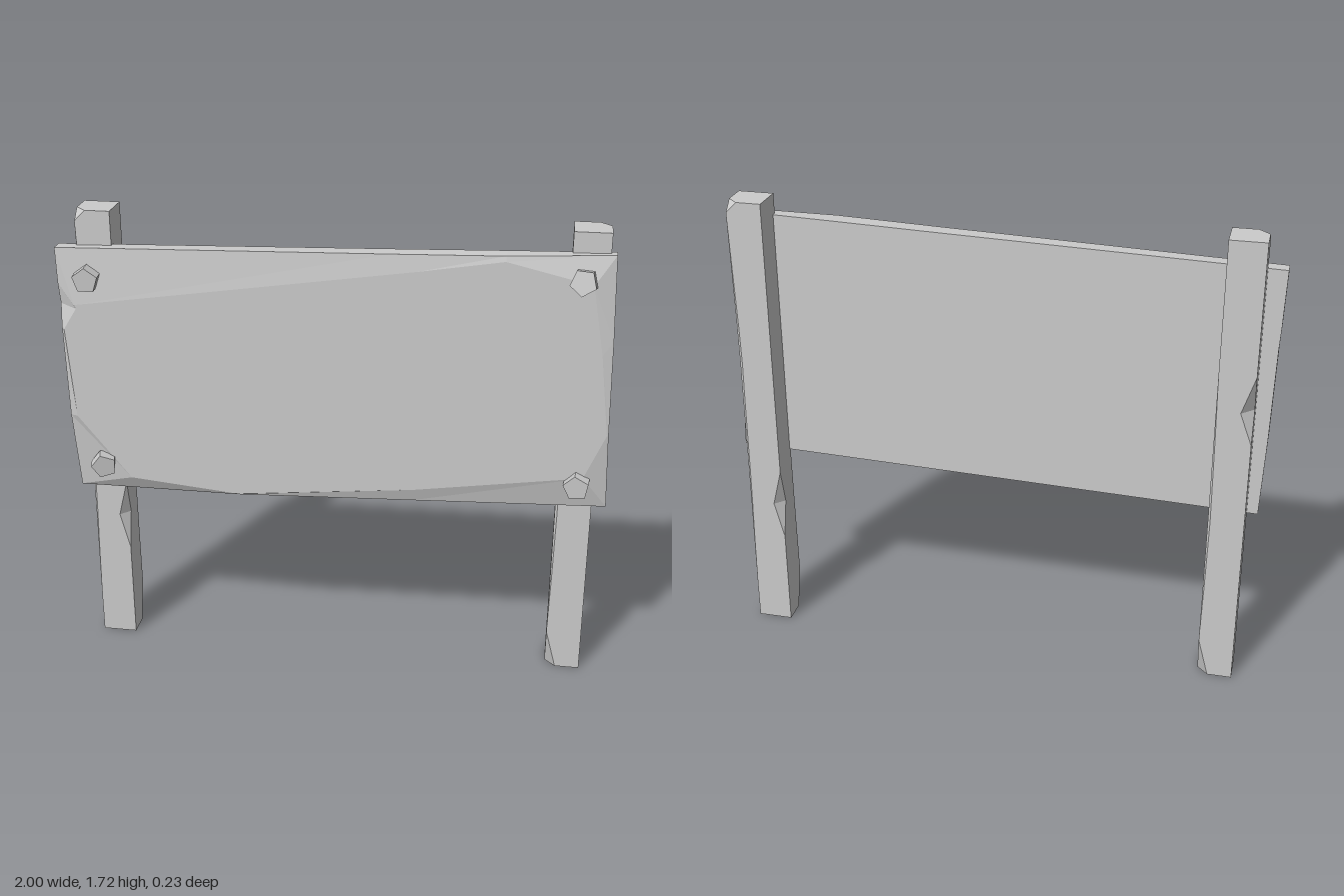
import * as THREE from 'three';

const material = new THREE.MeshStandardMaterial({ color: 0xcccccc, flatShading: true });

// Skins a stack of matching rings (counter-clockwise seen from the last one) and caps both ends.
function skin(rings) {
  const pos = [];
  const tri = (a, b, c) => {
    const area = b.clone().sub(a).cross(c.clone().sub(a)).length();
    if (area > 1e-7) for (const p of [a, b, c]) pos.push(p.x, p.y, p.z);
  };
  const n = rings[0].length;
  for (let r = 0; r + 1 < rings.length; r++) {
    for (let i = 0; i < n; i++) {
      const j = (i + 1) % n;
      const [a, b, c, d] = [rings[r][i], rings[r][j], rings[r + 1][j], rings[r + 1][i]];
      tri(a, b, c);
      tri(a, c, d);
    }
  }
  const cap = (ring, flip) => {
    const mid = ring.reduce((s, p) => s.add(p), new THREE.Vector3()).divideScalar(n);
    ring.forEach((p, i) => {
      const q = ring[(i + 1) % n];
      flip ? tri(mid, q, p) : tri(mid, p, q);
    });
  };
  cap(rings[0], true);
  cap(rings[rings.length - 1], false);
  const geo = new THREE.BufferGeometry();
  geo.setAttribute('position', new THREE.Float32BufferAttribute(pos, 3));
  geo.computeVertexNormals();
  return geo;
}

// Square post whose four corners are cut by a different amount at each height.
function postGeometry() {
  const h = 0.065;
  // height, then cut at corners (+x+z), (+x-z), (-x-z), (-x+z)
  const levels = [
    [0, 0, 0, 0, 0.04],
    [0.15, 0, 0, 0, 0],
    [0.38, 0, 0.004, 0, 0.005],
    [0.52, 0, 0.007, 0.035, 0.007],
    [0.66, 0, 0.009, 0, 0.009],
    [0.98, 0, 0.012, 0, 0.005],
    [1.1, 0.045, 0.014, 0, 0.003],
    [1.24, 0, 0.012, 0, 0],
    [1.68, 0, 0, 0, 0],
    [1.72, 0, 0.04, 0, 0],
  ];
  return skin(levels.map(([y, ...cuts]) => cuts.flatMap((c, k) =>
    [[h - c, h], [h, h - c]].map(([x, z]) => {
      for (let t = 0; t < k; t++) [x, z] = [z, -x];
      return new THREE.Vector3(x, y, z);
    }))));
}

// Skewed slab with a worn, irregularly bevelled front edge.
function boardGeometry() {
  // outline x, y, edge depth, then the matching x, y on the flat front
  const edge = [
    [-1, 1.59, 0.055, -0.93, 1.385],
    [-0.996, 1.46, 0.058, -0.935, 1.38],
    [-0.994, 1.38, 0.045, -0.93, 1.37],
    [-0.99, 1.3, 0.066, -0.98, 1.29],
    [-0.982, 0.95, 0.066, -0.955, 0.95],
    [-0.97, 0.65, 0.035, -0.76, 0.71],
    [-0.35, 0.669, 0.072, -0.35, 0.672],
    [0.3, 0.689, 0.06, 0.3, 0.738],
    [1, 0.71, 0.045, 0.91, 0.83],
    [0.988, 1.0, 0.073, 0.982, 1.0],
    [0.98, 1.35, 0.065, 0.945, 1.3],
    [0.97, 1.65, 0.04, 0.9, 1.55],
    [0.6, 1.639, 0.07, 0.6, 1.62],
    [0.2, 1.626, 0.066, 0.3, 1.57],
  ];
  return skin([
    edge.map(([x, y]) => new THREE.Vector3(x, y, 0.003)),
    edge.map(([x, y, z]) => new THREE.Vector3(x, y, z)),
    edge.map(([, , , x, y]) => new THREE.Vector3(x, y, 0.075)),
  ]);
}

export function createModel() {
  const model = new THREE.Group();
  model.name = 'signboard';
  const add = (name, geo) => {
    const mesh = new THREE.Mesh(geo, material);
    mesh.name = name;
    model.add(mesh);
    return mesh;
  };

  // Two posts, one turned half round
  const post = postGeometry();
  add('leftPost', post).position.set(0.885, 0, -0.045);
  const rightPost = add('rightPost', post);
  rightPost.position.set(-0.865, 0, -0.045);
  rightPost.rotation.y = Math.PI;

  add('board', boardGeometry());

  // Five-sided pegs: x, y, spin, tilt about x, tilt about y
  const peg = new THREE.CylinderGeometry(0.048, 0.048, 0.045, 5).rotateX(Math.PI / 2);
  const pegs = [
    [-0.88, 1.488, 0, 0.05, 0.05],
    [0.865, 1.565, 0.55, -0.2, -0.12],
    [-0.86, 0.765, 0.25, 0.1, 0.25],
    [0.89, 0.805, 0.15, 0.06, -0.1],
  ];
  pegs.forEach(([x, y, spin, tiltX, tiltY], i) => {
    const mesh = add('peg' + (i + 1), peg);
    mesh.position.set(x, y, 0.087);
    mesh.rotation.set(tiltX, tiltY, Math.PI + spin);
  });
  return model;
}
